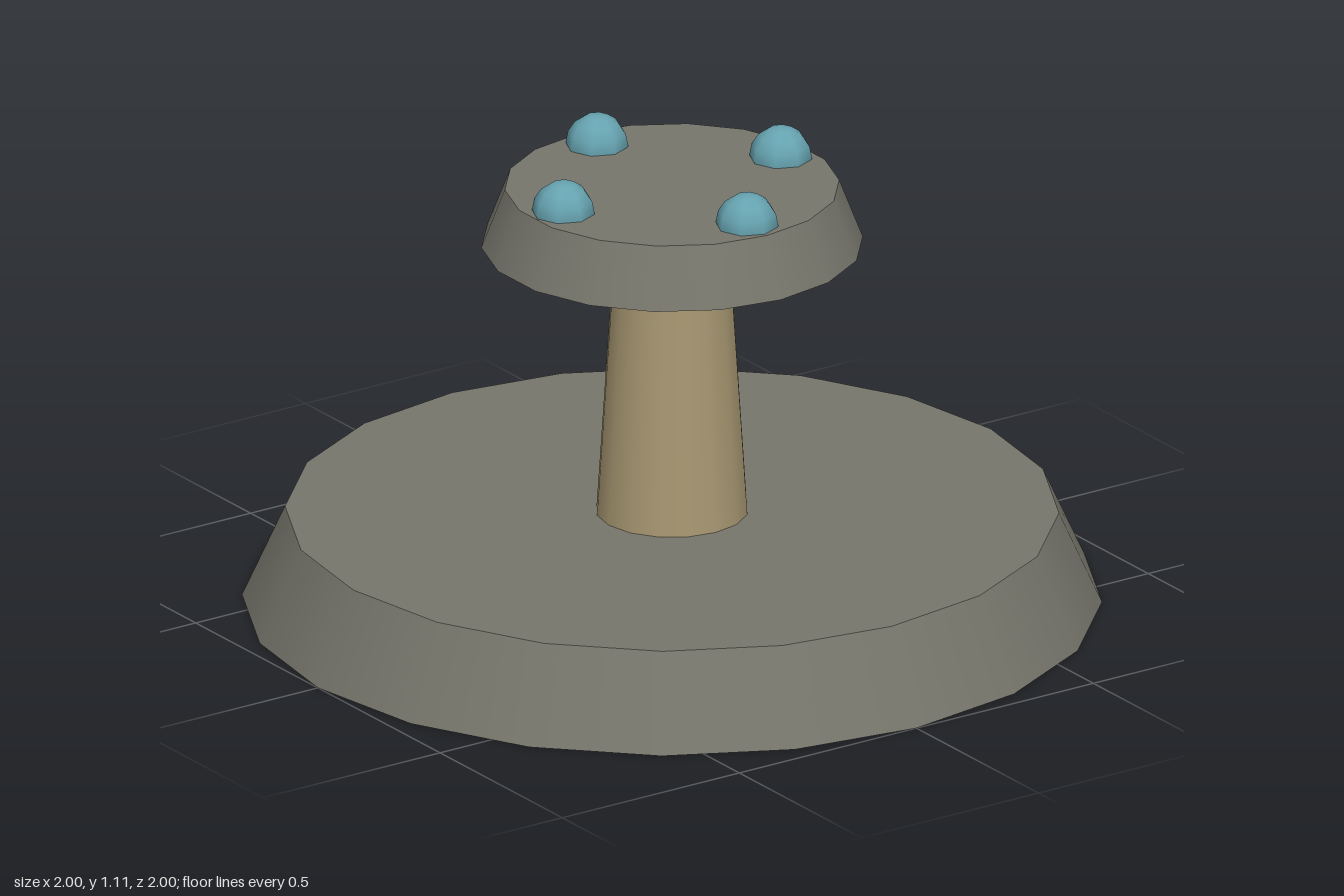
import * as THREE from 'three';

export function createModel() {
  const group = new THREE.Group();
  const stone = new THREE.MeshStandardMaterial({ color: 0x77766c });
  const wood = new THREE.MeshStandardMaterial({ color: 0xa89872 });
  const blue = new THREE.MeshStandardMaterial({ color: 0x66a3b0 });

  // Tapered round part standing between two heights
  function taper(name, rBottom, rTop, y0, y1, sides, material) {
    const mesh = new THREE.Mesh(new THREE.CylinderGeometry(rTop, rBottom, y1 - y0, sides), material);
    mesh.name = name;
    mesh.position.y = (y0 + y1) / 2;
    group.add(mesh);
  }

  taper('base', 1, 0.9, 0, 0.222, 20, stone);
  taper('column', 0.178, 0.135, 0.222, 0.89, 16, wood);
  taper('cap', 0.445, 0.39, 0.89, 1.033, 18, stone);

  // Four beads set around the top of the cap
  const beadGeometry = new THREE.SphereGeometry(0.074, 8, 8);
  for (let i = 0; i < 4; i++) {
    const angle = (i * Math.PI) / 2;
    const bead = new THREE.Mesh(beadGeometry, blue);
    bead.name = `bead${i + 1}`;
    bead.position.set(Math.cos(angle) * 0.307, 1.036, Math.sin(angle) * 0.307);
    group.add(bead);
  }

  return group;
}
